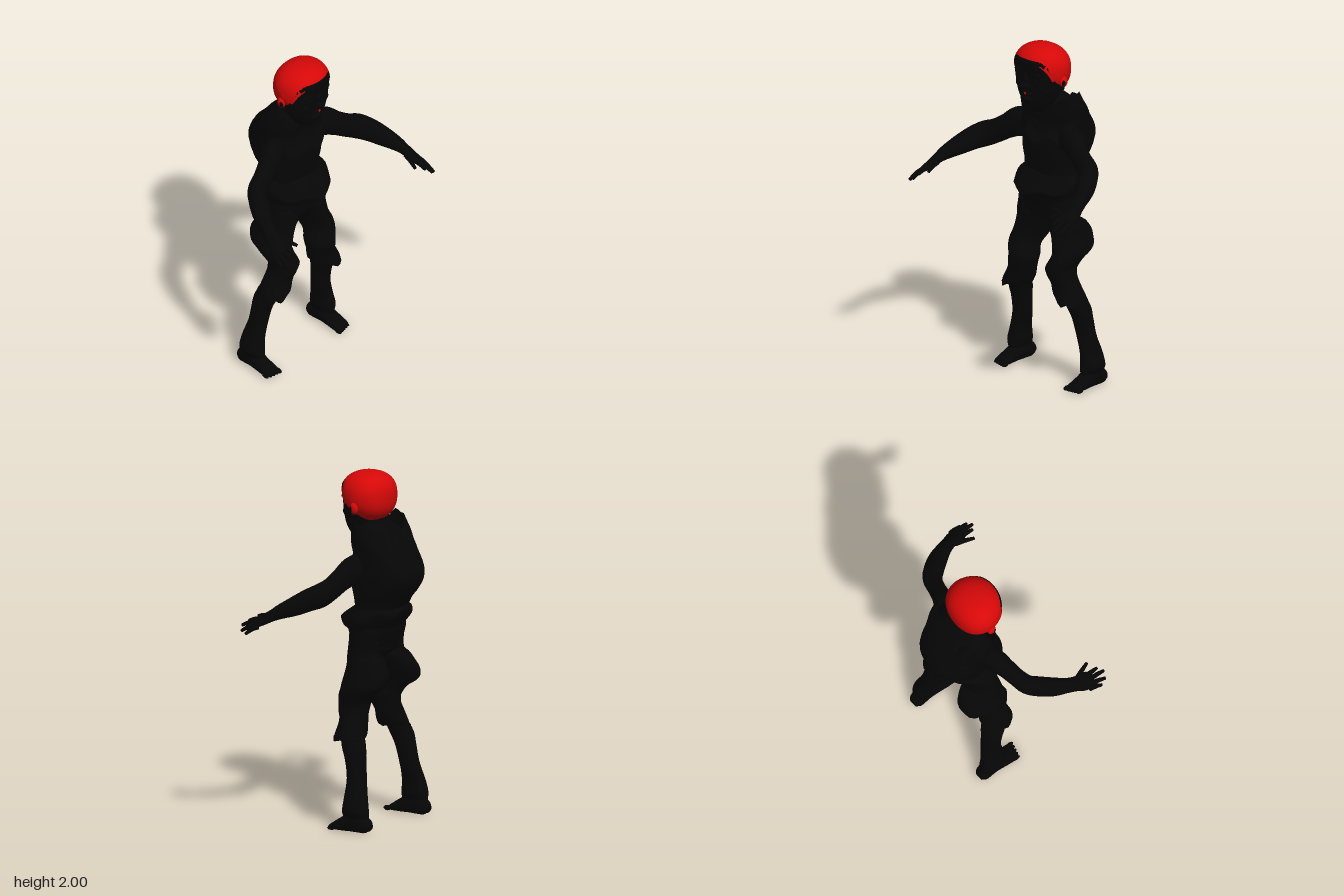
import * as THREE from 'three';

const black = new THREE.MeshStandardMaterial({ color: 0x060606, side: THREE.DoubleSide });
black.name = 'charcoal';
const red = new THREE.MeshStandardMaterial({ color: 0xd60808, side: THREE.DoubleSide });
red.name = 'red';

// Skin over elliptical rings [x, y, z, ru, rv], smoothed by a spline.
// With ref the rings turn along the path, without it they stay level.
function loft(rings, { ref = null, n = 28, steps = 4, power = 1, open = false, tweak = null } = {}) {
  const path = new THREE.CatmullRomCurve3(rings.map(r => new THREE.Vector3(r[0], r[1], r[2])), false, 'catmullrom', 0.5);
  const size = new THREE.CatmullRomCurve3(rings.map(r => new THREE.Vector3(r[3], r[4], 0)), false, 'catmullrom', 0.5);
  const m = (rings.length - 1) * steps;
  const up = ref || new THREE.Vector3(0, 0, 1);
  const pos = [], idx = [];
  const bend = v => Math.sign(v) * Math.abs(v) ** power;
  for (let i = 0; i <= m; i++) {
    const f = i / m, c = path.getPoint(f), r = size.getPoint(f);
    const t = ref ? path.getTangent(f) : new THREE.Vector3(0, 1, 0);
    const u = t.clone().cross(up).normalize(), v = u.clone().cross(t);
    for (let j = 0; j < n; j++) {
      const a = j / n * Math.PI * 2;
      const p = c.clone().addScaledVector(u, bend(Math.cos(a)) * r.x).addScaledVector(v, bend(Math.sin(a)) * r.y);
      if (tweak) tweak(p, a, f, c);
      pos.push(p.x, p.y, p.z);
    }
  }
  for (let i = 0; i < m; i++) for (let j = 0; j < n; j++) {
    const a = i * n + j, b = i * n + (j + 1) % n;
    idx.push(a, a + n, b, b, a + n, b + n);
  }
  if (!open) {
    const k = pos.length / 3, e = rings[rings.length - 1];
    pos.push(...rings[0].slice(0, 3), e[0], e[1], e[2]);
    for (let j = 0; j < n; j++) {
      const q = (j + 1) % n;
      idx.push(k, j, q, k + 1, m * n + q, m * n + j);
    }
  }
  const g = new THREE.BufferGeometry();
  g.setAttribute('position', new THREE.Float32BufferAttribute(pos, 3));
  g.setIndex(idx);
  g.computeVertexNormals();
  return g;
}

// Rows [y, half width, front z, back z, centre x] to level rings
const level = (rows, s = 1) => rows.map(([y, w, f, b, x = 0]) => [x * s, y, (f + b) / 2, w, (f - b) / 2]);

// Creased cloth: pushes a point in or out around the ring
const crease = amount => (p, a, f, c) => {
  const k = 1 + amount * (Math.sin(5 * a + 9 * f) + 0.6 * Math.sin(9 * a - 17 * f));
  p.x = c.x + (p.x - c.x) * k;
  p.z = c.z + (p.z - c.z) * k;
};

export function createModel() {
  const model = new THREE.Group();
  const add = (name, geo, mat = black, parent = model) => {
    const mesh = new THREE.Mesh(geo, mat);
    mesh.name = name;
    parent.add(mesh);
  };
  const blob = (name, x, y, z, rx, ry, rz, mat = black, parent = model) =>
    add(name, new THREE.SphereGeometry(1, 16, 12).scale(rx, ry, rz).translate(x, y, z), mat, parent);

  // Hunched torso and hips
  add('torso', loft(level([
    [1.12, 0.18, -0.03, -0.24], [1.2, 0.175, -0.03, -0.27], [1.28, 0.172, -0.02, -0.31],
    [1.35, 0.188, -0.01, -0.365], [1.42, 0.192, 0, -0.4], [1.5, 0.2, -0.01, -0.375],
    [1.58, 0.198, -0.03, -0.32], [1.66, 0.15, -0.05, -0.24], [1.72, 0.09, -0.06, -0.17],
  ]), { n: 40, power: 0.9, tweak: crease(0.014) }));
  add('hips', loft(level([
    [0.95, 0.05, -0.07, -0.17], [0.985, 0.17, -0.03, -0.21], [1.03, 0.198, -0.02, -0.222],
    [1.1, 0.2, -0.01, -0.245], [1.18, 0.185, -0.02, -0.25],
  ]), { power: 0.85, tweak: crease(0.01) }));

  // Torn hem standing out around the waist, with a pointed flap in front
  add('shirtHem', loft(level([
    [1.06, 0.194, -0.012, -0.228], [1.12, 0.2, 0.01, -0.245], [1.185, 0.216, 0.035, -0.3], [1.25, 0.165, -0.03, -0.29],
  ]), {
    n: 44, steps: 3, open: true, tweak: (p, a, f) => {
      const edge = Math.max(0, 1 - Math.abs(f - 0.667) * 3);
      p.z += 0.05 * edge * Math.max(0, Math.sin(a)) ** 3;
      p.z -= 0.02 * edge * Math.max(0, -Math.sin(a)) ** 3;
      p.y += edge * (0.016 * Math.sin(7 * a) - 0.035 * Math.sin(a));
    },
  }));

  // Ragged collar with raised points at both shoulders
  add('collar', loft(level([
    [1.46, 0.202, 0.025, -0.375], [1.53, 0.2, -0.02, -0.35], [1.6, 0.212, -0.02, -0.3], [1.655, 0.195, -0.02, -0.24],
  ]), {
    n: 44, open: true, power: 0.9, tweak: (p, a, f) => {
      p.y += 0.09 * f * f * Math.abs(Math.cos(a)) ** 3;
      p.y += 0.025 * (1 - f) * Math.sin(8 * a) + 0.01 * f * Math.sin(11 * a);
      p.x *= 1 + 0.025 * f * f * f;
    },
  }));
  add('neck', loft(level([[1.58, 0.1, -0.05, -0.24], [1.68, 0.08, -0.04, -0.18], [1.8, 0.08, -0.02, -0.16]])));

  // Head: face, red cap and ears
  const head = new THREE.Group();
  head.name = 'head';
  model.add(head);
  add('face', loft(level([
    [1.612, 0.035, 0.0, -0.05], [1.64, 0.075, 0.022, -0.09], [1.69, 0.112, 0.042, -0.12],
    [1.74, 0.135, 0.05, -0.14], [1.8, 0.152, 0.052, -0.15], [1.85, 0.157, 0.055, -0.15],
    [1.9, 0.148, 0.068, -0.14], [1.94, 0.118, 0.068, -0.13], [1.97, 0.06, 0.02, -0.1],
  ]), { power: 0.9 }), black, head);
  const cap = new THREE.SphereGeometry(1, 40, 28, 0, Math.PI * 2, 0, 1.93).rotateX(-0.885);
  const cp = cap.attributes.position;
  const square = (v, k) => Math.sign(v) * Math.abs(v) ** k;
  for (let i = 0; i < cp.count; i++) {
    const y = cp.getY(i), z = square(cp.getZ(i), 0.86), narrow = 1 - 0.14 * Math.max(0, z) - 0.12 * Math.max(0, -y);
    cp.setXYZ(i, square(cp.getX(i), 0.9) * 0.168 * narrow, 1.857 + square(y, 0.8) * 0.143, -0.066 + z * 0.15);
  }
  cap.computeVertexNormals();
  add('cap', cap, red, head);
  blob('noseBridge', 0, 1.82, 0.055, 0.018, 0.045, 0.02, black, head);
  blob('nose', 0, 1.785, 0.063, 0.035, 0.022, 0.029, black, head);
  blob('upperLip', 0, 1.735, 0.04, 0.05, 0.014, 0.022, black, head);
  blob('lowerLip', 0, 1.7, 0.038, 0.045, 0.016, 0.022, black, head);
  blob('chin', 0, 1.65, 0.005, 0.045, 0.03, 0.025, black, head);
  add('mouthMark', new THREE.BoxGeometry(0.012, 0.01, 0.006).translate(0, 1.737, 0.062), red, head);

  for (const s of [1, -1]) {
    const side = s > 0 ? 'left' : 'right';
    blob(side + 'Ear', s * 0.16, 1.812, -0.08, 0.02, 0.034, 0.026, red, head);
    blob(side + 'InnerEar', s * 0.168, 1.81, -0.072, 0.0125, 0.022, 0.014, black, head);
    blob(side + 'Earlobe', s * 0.155, 1.778, -0.07, 0.018, 0.02, 0.018, black, head);
    blob(side + 'Brow', s * 0.06, 1.858, 0.038, 0.045, 0.014, 0.02, black, head);
    blob(side + 'Eye', s * 0.058, 1.825, 0.034, 0.024, 0.012, 0.018, black, head);
    blob(side + 'Cheek', s * 0.075, 1.775, 0.013, 0.04, 0.035, 0.03, black, head);

    // Arm reaching forward, with a flat palm and tapering fingers
    const arm = new THREE.Group();
    arm.name = side + 'Arm';
    model.add(arm);
    const roll = new THREE.Vector3(s * 0.4, 1, 0).normalize();
    const sweep = (name, rings, n = 20) => add(name, loft(rings.map(r => [r[0] * s, ...r.slice(1)]), { ref: roll, n }), black, arm);
    sweep('armAndPalm', [
      [0.13, 1.48, -0.12, 0.06, 0.085], [0.21, 1.465, -0.1, 0.064, 0.085], [0.28, 1.425, -0.075, 0.054, 0.07],
      [0.345, 1.385, -0.055, 0.05, 0.068], [0.41, 1.355, -0.03, 0.054, 0.072], [0.455, 1.33, 0.02, 0.056, 0.066],
      [0.497, 1.295, 0.085, 0.053, 0.056], [0.53, 1.262, 0.155, 0.043, 0.042], [0.547, 1.235, 0.205, 0.042, 0.03],
      [0.557, 1.21, 0.25, 0.051, 0.023], [0.566, 1.19, 0.29, 0.048, 0.018], [0.568, 1.182, 0.305, 0.034, 0.012],
    ]);
    [
      [0.603, 1.172, 0.265, 0.615, 1.125, 0.34], [0.586, 1.18, 0.285, 0.6, 1.135, 0.378],
      [0.565, 1.192, 0.29, 0.568, 1.16, 0.395], [0.542, 1.202, 0.28, 0.538, 1.183, 0.37],
      [0.525, 1.22, 0.235, 0.486, 1.205, 0.34],
    ].forEach(([x, y, z, X, Y, Z], i) => sweep(['little', 'ring', 'middle', 'index', 'thumb'][i] + 'Finger', [
      [x, y, z, 0.015, 0.014], [(x + X) / 2, (y + Y) / 2 + 0.006, (z + Z) / 2, 0.013, 0.013], [X, Y, Z, 0.009, 0.009],
    ], 10));

    // Baggy torn trouser leg and bare shin
    const leg = new THREE.Group();
    leg.name = side + 'Leg';
    model.add(leg);
    add('trouserLeg', loft(level([
      [0.505, 0.062, 0.0, -0.18, 0.234], [0.53, 0.086, 0.0, -0.18, 0.204], [0.6, 0.086, -0.01, -0.165, 0.174],
      [0.65, 0.08, 0.008, -0.165, 0.157], [0.7, 0.083, 0.015, -0.172, 0.147], [0.75, 0.083, 0.005, -0.2, 0.166],
      [0.8, 0.086, -0.01, -0.275, 0.17], [0.87, 0.086, -0.02, -0.295, 0.146], [0.94, 0.09, -0.025, -0.255, 0.124],
      [0.975, 0.092, -0.025, -0.21, 0.112], [1.06, 0.085, -0.03, -0.215, 0.11],
    ], s), {
      tweak: (p, a, f, c) => {
        crease(0.03)(p, a, f, c);
        p.y += 0.012 * Math.sin(6 * a) * Math.max(0, 1 - 6 * f);
      },
    }), black, leg);
    add('shin', loft(level([
      [0.04, 0.04, -0.13, -0.265, 0.285], [0.085, 0.043, -0.1, -0.265, 0.287], [0.125, 0.06, -0.1, -0.262, 0.29],
      [0.2, 0.05, -0.106, -0.25, 0.28], [0.3, 0.057, -0.11, -0.222, 0.255], [0.4, 0.061, -0.09, -0.208, 0.243],
      [0.47, 0.064, -0.06, -0.2, 0.232], [0.56, 0.06, -0.03, -0.165, 0.205],
    ], s)), black, leg);

    // Bare foot with toes
    add('foot', loft([
      [0.285, 0.03, -0.278, 0.025, 0.02], [0.285, 0.04, -0.25, 0.043, 0.045], [0.286, 0.055, -0.18, 0.045, 0.06],
      [0.288, 0.035, -0.1, 0.05, 0.04], [0.288, 0.02, -0.045, 0.053, 0.022], [0.288, 0.016, -0.025, 0.045, 0.014],
    ].map(r => [r[0] * s, ...r.slice(1)]), {
      ref: new THREE.Vector3(0, 1, 0), tweak: p => { p.y = Math.max(0, p.y); },
    }), black, leg);
    for (let i = 0; i < 5; i++) {
      const r = 0.015 - 0.0015 * i;
      blob('toe', s * (0.248 + 0.021 * i), r, -0.022 - 0.005 * i, r * 0.85, r, 0.024, black, leg);
    }
  }
  return model;
}
